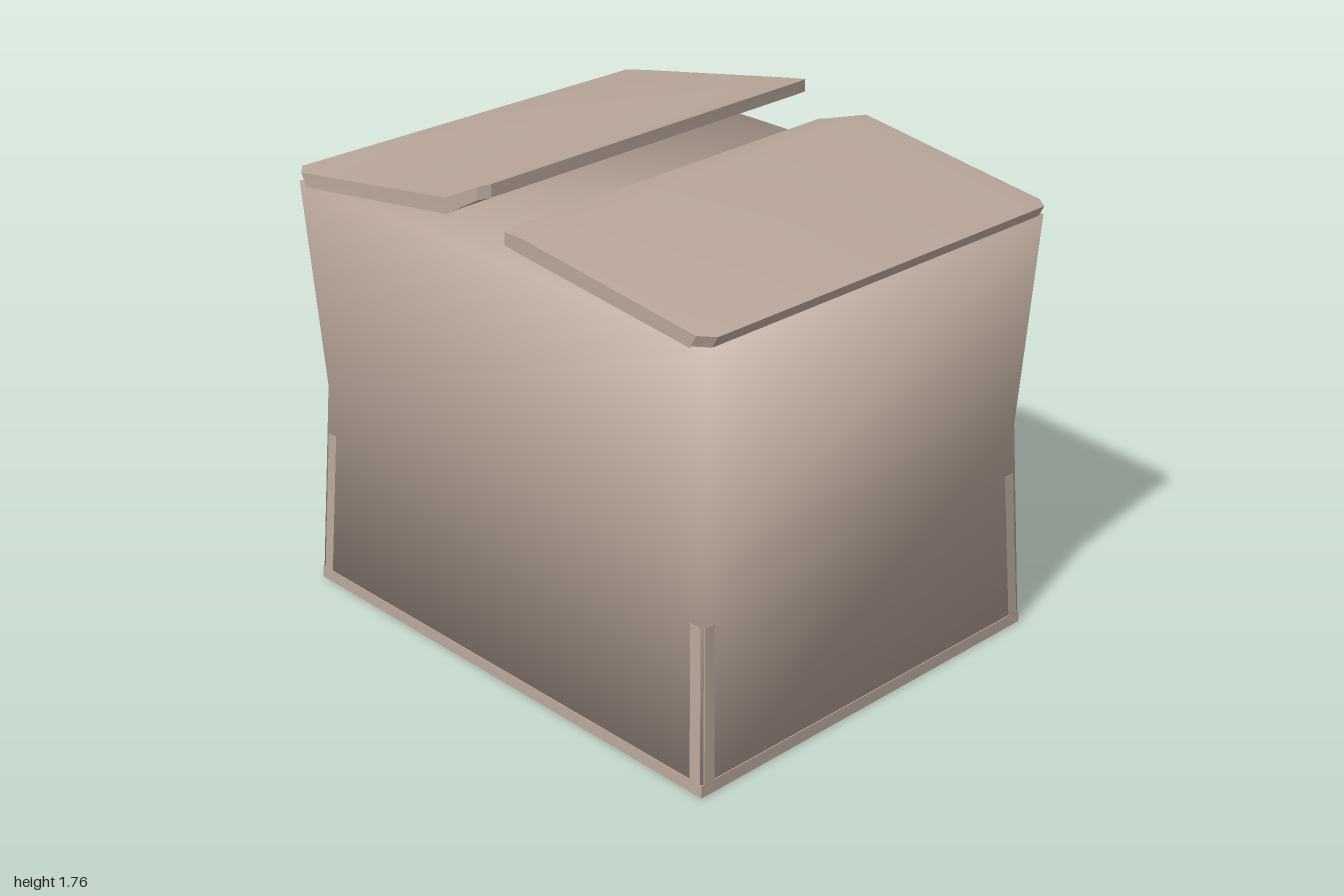
import * as THREE from 'three';
import { toCreasedNormals } from 'three/addons/utils/BufferGeometryUtils.js';

// Joins equal-length loops of [x, y, z] points into a closed solid
function loft(loops, crease) {
  const n = loops[0].length, p = loops.flat(), index = [];
  const quad = (a, b, c, d) => index.push(a, b, c, a, c, d);
  for (let r = 0; r < loops.length - 1; r++) {
    for (let i = 0; i < n; i++) {
      const j = (i + 1) % n;
      quad(r * n + i, r * n + j, (r + 1) * n + j, (r + 1) * n + i);
    }
  }
  const last = (loops.length - 1) * n;
  for (let i = 0; i < n / 2 - 1; i++) {
    quad(i, n - 1 - i, n - 2 - i, i + 1);
    quad(last + i, last + i + 1, last + n - 2 - i, last + n - 1 - i);
  }
  // Turn the faces outward whichever way the loops run
  const v = p.map(q => new THREE.Vector3(...q));
  let volume = 0;
  for (let i = 0; i < index.length; i += 3) {
    volume += v[index[i]].dot(v[index[i + 1]].clone().cross(v[index[i + 2]]));
  }
  if (volume < 0) index.reverse();
  const g = new THREE.BufferGeometry();
  g.setAttribute('position', new THREE.Float32BufferAttribute(p.flat(), 3));
  g.setIndex(index);
  g.computeVertexNormals();
  return crease ? toCreasedNormals(g, crease) : g;
}

const rect = (x, y, front, back) => [[-x, y, front], [x, y, front], [x, y, back], [-x, y, back]];

export function createModel() {
  const model = new THREE.Group();
  const card = new THREE.MeshStandardMaterial({ name: 'cardboard', color: 0xb9a69a });
  const ink = new THREE.MeshStandardMaterial({ name: 'dark ink', color: 0x352e3c });
  const add = (name, geometry, material) => {
    const mesh = new THREE.Mesh(geometry, material);
    mesh.name = name;
    model.add(mesh);
    return mesh;
  };

  // Soft box body, pinched at mid height
  add('boxBody', loft([
    rect(0.982, 0, 0.785, -0.79),
    rect(0.938, 0.775, 0.745, -0.755),
    rect(0.975, 1.545, 0.785, -0.79),
  ]), card);

  // Folded rim around the base
  add('bottomRim', loft([
    rect(0.984, 0.001, 0.787, -0.792),
    rect(0.983, 0.045, 0.786, -0.791),
  ], 0.6), card);

  // Chamfered folds rising up the four lower corners
  for (const sx of [-1, 1]) {
    for (const sz of [-1, 1]) {
      const section = (y, x, z) => [
        [sx * x, y, sz * (z - 0.055)], [sx * x, y, sz * (z - 0.012)],
        [sx * (x - 0.012), y, sz * z], [sx * (x - 0.055), y, sz * z],
      ];
      const dz = sz < 0 ? 0.006 : 0;
      add('cornerFold', loft([
        section(0.002, 0.985, 0.787 + dz),
        section(0.59, 0.951, 0.756 + dz),
      ], 0.6), card);
    }
  }

  // Creased lid flap: rows run front to back with hinge, bend and end columns
  const flap = (name, hinge, rows) => {
    const s = Math.sign(hinge);
    add(name, loft(rows.map(([h, b, e, inset]) => [
      [hinge - s * inset, 1.585, h], b, e,
      [e[0], e[1] - 0.045, e[2]],
      [b[0], b[1] - 0.055, b[2]],
      [hinge - s * (inset + 0.025), 1.538, h],
    ]), 0.6), card);
  };
  flap('rightLidFlap', -0.998, [
    [0.795, [-0.21, 1.69, 0.77], [-0.09, 1.75, 0.735], 0.05],
    [0.755, [-0.21, 1.692, 0.73], [-0.062, 1.758, 0.7], 0],
    [-0.76, [-0.21, 1.728, -0.77], [-0.082, 1.762, -0.74], 0],
    [-0.805, [-0.21, 1.728, -0.812], [-0.1, 1.755, -0.785], 0.05],
  ]);
  flap('leftLidFlap', 0.995, [
    [0.785, [0.21, 1.68, 0.808], [0.085, 1.66, 0.775], 0.05],
    [0.745, [0.21, 1.682, 0.765], [0.075, 1.662, 0.74], 0],
    [-0.765, [0.2, 1.703, -0.735], [0.045, 1.664, -0.7], 0],
    [-0.805, [0.2, 1.7, -0.775], [0.055, 1.66, -0.735], 0.05],
  ]);

  // Upward arrow printed on the back wall, folded along the wall's pinch
  const mark = (name, points) => {
    const g = new THREE.ShapeGeometry(new THREE.Shape(points.map(q => new THREE.Vector2(...q))));
    g.rotateY(Math.PI);
    const pos = g.attributes.position;
    for (let i = 0; i < pos.count; i++) {
      pos.setX(i, pos.getX(i) - 0.01);
      pos.setZ(i, -0.76 - 0.0455 * Math.abs(pos.getY(i) - 0.775));
    }
    g.computeVertexNormals();
    add(name, g, ink);
  };
  mark('arrowHead', [[-0.305, 0.775], [0.305, 0.775], [0, 1.09]]);
  mark('arrowShaft', [[-0.1, 0.535], [0.1, 0.535], [0.1, 0.775], [-0.1, 0.775]]);

  return model;
}
